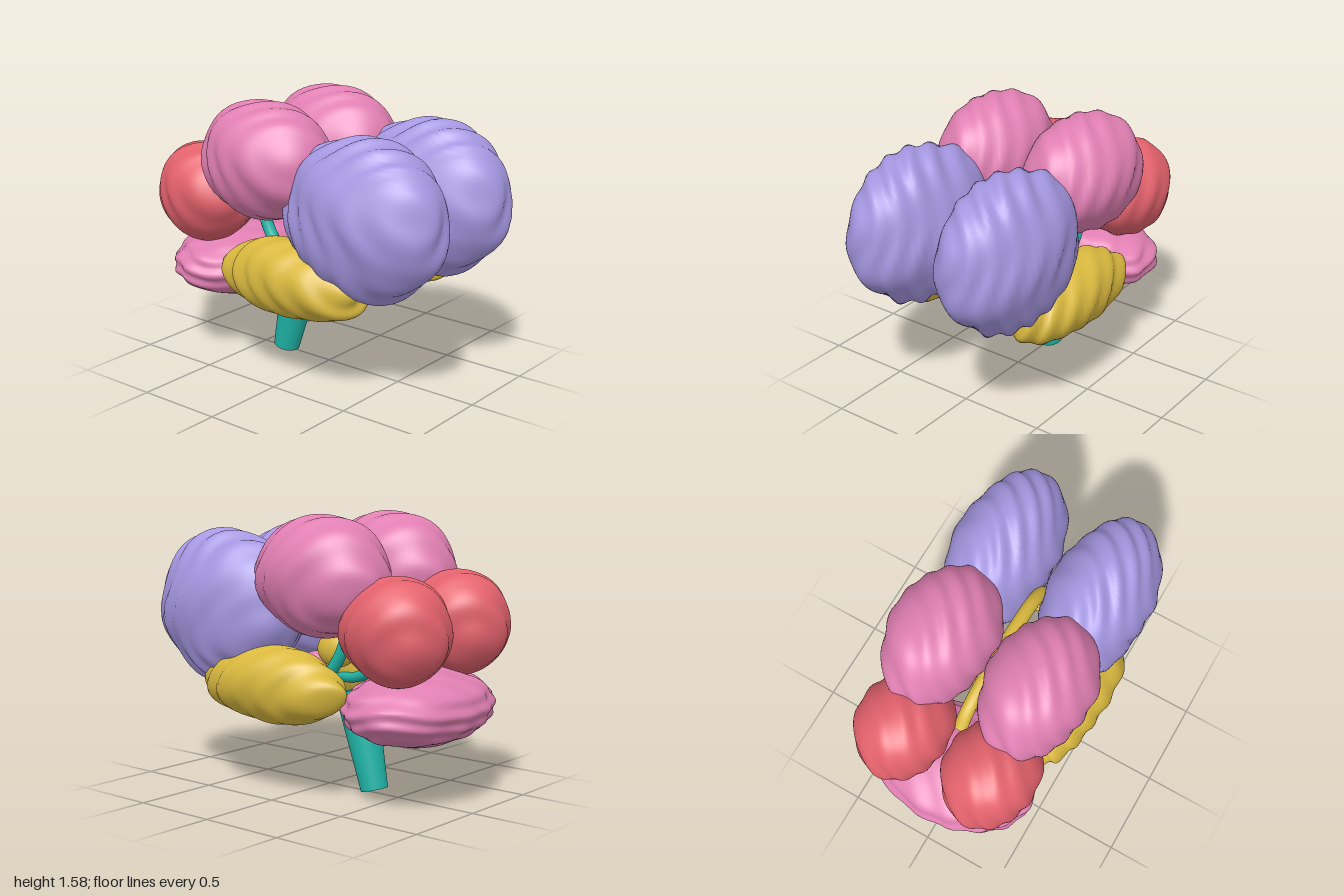
import * as THREE from 'three';

const mat = (name, color) => {
  const m = new THREE.MeshStandardMaterial({ color });
  m.name = name;
  return m;
};

export function createModel() {
  const group = new THREE.Group();
  const purple = mat('lavender', 0xa496e0);
  const pink = mat('pink', 0xe07fb2);
  const red = mat('coral red', 0xe2616c);
  const yellow = mat('mustard yellow', 0xdab93f);
  const teal = mat('teal', 0x20b5a8);

  const add = (name, geometry, material, pos = [0, 0, 0]) => {
    const mesh = new THREE.Mesh(geometry, material);
    mesh.name = name;
    mesh.position.set(...pos);
    group.add(mesh);
    return mesh;
  };

  // Ellipsoid whose radius is rippled by a function of position
  const lobe = (name, material, pos, radii, ripple) => {
    const g = new THREE.SphereGeometry(1, 80, 56);
    const p = g.attributes.position;
    const v = new THREE.Vector3();
    for (let i = 0; i < p.count; i++) {
      v.fromBufferAttribute(p, i);
      const s = 1 + ripple(v.x * radii[0], v.y * radii[1], v.z * radii[2]);
      p.setXYZ(i, v.x * radii[0] * s, v.y * radii[1] * s, v.z * radii[2] * s);
    }
    g.computeVertexNormals();
    // Weld the normals along the sphere's seam and poles
    const n = g.attributes.normal, cols = 81;
    for (let r = 0; r <= 56; r++) {
      const a = r * cols, b = a + 80;
      v.fromBufferAttribute(n, a).add(new THREE.Vector3().fromBufferAttribute(n, b)).normalize();
      if (r === 0) v.set(0, 1, 0);
      if (r === 56) v.set(0, -1, 0);
      if (r === 0 || r === 56) for (let c = a; c <= b; c++) n.setXYZ(c, v.x, v.y, v.z);
      else [a, b].forEach((c) => n.setXYZ(c, v.x, v.y, v.z));
    }
    return add(name, g, material, pos);
  };

  // Diagonal folds of the cortex
  const folds = (x, y, z) =>
    0.028 * Math.sin(36 * (x + z) + 2 * Math.sin(9 * y)) * (0.7 + 0.3 * Math.cos(16 * y)) +
    0.02 * Math.sin(15 * y + 9 * x);
  const fineFolds = (x, y, z) =>
    0.018 * Math.sin(75 * y + 2 * Math.sin(12 * x)) + 0.016 * Math.sin(30 * (x + z));

  const tube = (name, points, radius, material) => {
    const curve = new THREE.CatmullRomCurve3(points.map((q) => new THREE.Vector3(...q)));
    add(name, new THREE.TubeGeometry(curve, 40, radius, 16), material);
    // Flat end caps
    [0, 1].forEach((t) => {
      const cap = add(name + 'Cap', new THREE.CircleGeometry(radius, 16), material);
      cap.position.copy(curve.getPoint(t));
      const dir = curve.getTangent(t).multiplyScalar(t ? 1 : -1);
      cap.quaternion.setFromUnitVectors(new THREE.Vector3(0, 0, 1), dir);
    });
  };
  const ellipsoid = (name, material, pos, radii) =>
    add(name, new THREE.SphereGeometry(1, 32, 20), material, pos).scale.set(...radii);

  // Paired parts of the two hemispheres
  for (const [side, s] of [['left', 1], ['right', -1]]) {
    lobe(side + 'FrontalLobe', purple, [0.49, 1.03, 0.305 * s], [0.495, 0.44, 0.295], folds);
    lobe(side + 'ParietalLobe', pink, [-0.2, 1.25, 0.3 * s], [0.415, 0.33, 0.295], folds);
    lobe(side + 'OccipitalLobe', red, [-0.685, 0.985, 0.275 * s], [0.31, 0.29, 0.265], folds);
    lobe(side + 'TemporalLobe', yellow, [0.075, 0.635, 0.405 * s], [0.49, 0.215, 0.2],
      (x, y, z) => folds(x, y, z) * 1.5);
    ellipsoid(side + 'Thalamus', yellow, [-0.12, 0.81, 0.08 * s], [0.13, 0.1, 0.08]);
    tube(side + 'Hippocampus', [[-0.31, 0.92, 0.22 * s], [-0.25, 0.79, 0.22 * s],
      [-0.15, 0.67, 0.22 * s], [0, 0.6, 0.23 * s], [0.18, 0.6, 0.24 * s]], 0.035, teal);
    ellipsoid(side + 'Amygdala', pink, [0.21, 0.6, 0.23 * s], [0.045, 0.04, 0.04]);
  }

  // Cerebellum
  lobe('cerebellum', pink, [-0.64, 0.54, 0], [0.355, 0.21, 0.5], fineFolds);

  // Leaning, tapered brainstem
  const low = new THREE.Vector3(-0.33, 0.02, 0), high = new THREE.Vector3(-0.19, 0.58, 0);
  const axis = high.clone().sub(low);
  const stem = add('brainstem', new THREE.CylinderGeometry(0.12, 0.078, axis.length(), 40), teal);
  stem.position.copy(low).add(high).multiplyScalar(0.5);
  stem.quaternion.setFromUnitVectors(new THREE.Vector3(0, 1, 0), axis.normalize());

  // Arched bridge between the hemispheres
  tube('corpusCallosum', [[-0.54, 0.98, 0], [-0.43, 1.08, 0], [-0.1, 1.14, 0],
    [0.25, 1.1, 0], [0.38, 0.98, 0], [0.32, 0.9, 0]], 0.04, yellow);
  ellipsoid('fornixTip', red, [0.1, 0.87, 0], [0.03, 0.02, 0.02]);

  // Hypothalamus with the hanging pituitary
  ellipsoid('hypothalamus', pink, [0.11, 0.715, 0], [0.07, 0.055, 0.07]);
  add('pituitaryStalk', new THREE.CylinderGeometry(0.011, 0.011, 0.15, 16), pink, [0.13, 0.63, 0]);
  ellipsoid('pituitary', pink, [0.13, 0.56, 0], [0.04, 0.04, 0.04]);

  return group;
}
